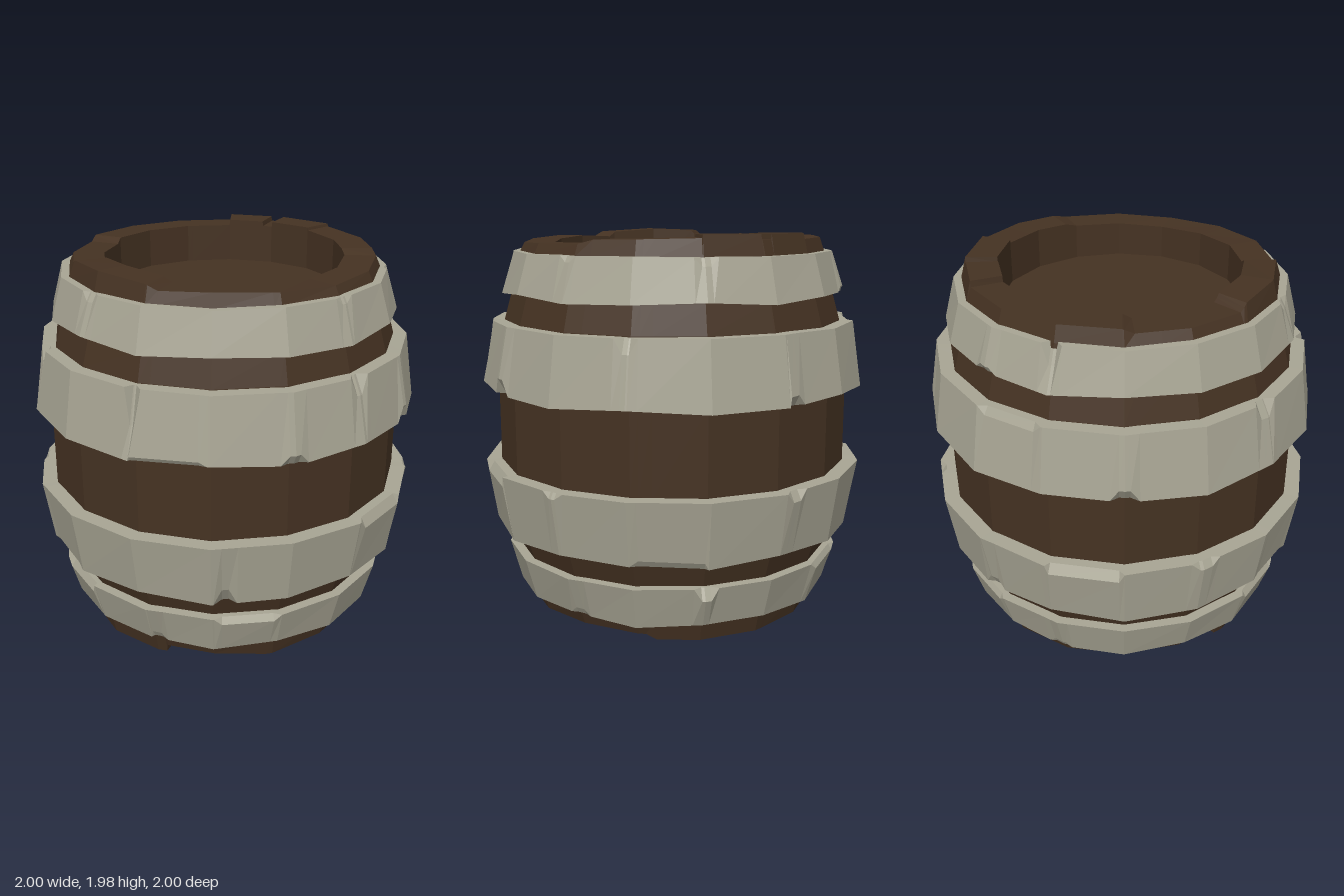
import * as THREE from 'three';

const SIDES = 16, STEP = 360 / SIDES;
const wood = new THREE.MeshStandardMaterial({ color: 0x453222, flatShading: true });
const iron = new THREE.MeshStandardMaterial({ color: 0xa8a594, flatShading: true });

// Point at an angle (0 = front, 90 = +x) kept on the straight sides of a 16-gon
function point(deg, [r, y]) {
  const half = Math.PI / SIDES;
  const local = THREE.MathUtils.degToRad(((deg % STEP) + STEP) % STEP) - half;
  const a = THREE.MathUtils.degToRad(deg), k = r * Math.cos(half) / Math.cos(local);
  return new THREE.Vector3(k * Math.sin(a), y, k * Math.cos(a));
}

// Sweeps a profile [r, y] (listed bottom to top) round the axis; it may change with the angle
function sweep(name, angles, profileAt, material) {
  const list = [...new Set(angles)].sort((a, b) => a - b);
  const rows = list.map(a => profileAt(a).map(p => point(a, p)));
  const pos = [], tri = new THREE.Triangle();
  const add = (a, b, c) => {
    if (tri.set(a, b, c).getArea() > 1e-8) pos.push(...a, ...b, ...c);
  };
  for (let i = 0; i < rows.length - 1; i++) {
    const p = rows[i], q = rows[i + 1];
    for (let j = 0; j < p.length - 1; j++) {
      add(p[j], q[j], q[j + 1]);
      add(p[j], q[j + 1], p[j + 1]);
    }
  }
  const geo = new THREE.BufferGeometry();
  geo.setAttribute('position', new THREE.Float32BufferAttribute(pos, 3));
  geo.computeVertexNormals();
  const mesh = new THREE.Mesh(geo, material);
  mesh.name = name;
  return mesh;
}

// Linear lookup in a list of [angle, value]
function lookup(table, a) {
  for (let i = 1; i < table.length; i++) {
    const [a0, v0] = table[i - 1], [a1, v1] = table[i];
    if (a <= a1) return v0 + (v1 - v0) * (a - a0) / (a1 - a0);
  }
  return table[table.length - 1][1];
}

const grid = Array.from({ length: SIDES + 1 }, (_, i) => i * STEP);

// Uneven stave ends: height of the rim by angle, close pairs are sharp steps
const topRim = [[0, 1.94], [45, 1.92], [90, 1.93], [96, 1.95], [134.7, 1.96], [135, 1.975],
  [157, 1.975], [157.3, 1.95], [162, 1.95], [162.3, 1.975], [180, 1.975], [180.3, 1.945],
  [247, 1.95], [251, 1.925], [291, 1.925], [294, 1.96], [315, 1.97], [337, 1.955],
  [341, 1.93], [360, 1.94]];
const bottomRim = [[0, 0.04], [20, 0.01], [45, 0.03], [90, 0.055], [115, 0.05], [119, 0.02],
  [160, 0.02], [200, 0.04], [260, 0.06], [288, 0.06], [288.3, 0.015], [315, 0],
  [341, 0.01], [341.3, 0.045], [360, 0.04]];

function makeBody() {
  const angles = [...grid, ...topRim.map(t => t[0]), ...bottomRim.map(t => t[0])];
  return sweep('barrelBody', angles, a => {
    const top = lookup(topRim, a), bottom = lookup(bottomRim, a);
    return [[0, 0.25], [0.61, 0.25], [0.61, bottom], [0.768, bottom],
      [0.795, 0.13], [0.84, 0.33], [0.88, 0.46], [0.92, 0.79],
      [0.92, 1.2], [0.88, 1.53], [0.84, 1.67], [0.795, 1.87],
      [0.768, top], [0.61, top], [0.61, 1.75], [0, 1.75]];
  }, wood);
}

// Chips are [start angle, end angle, depth]; the chip fades out just past both ends
const FADE = 2.5;
const chipAngles = chips => chips.flatMap(([s, e]) => [s - FADE, s, e, e + FADE]);
function chipDepth(chips, a) {
  let depth = 0;
  for (const [s, e, d] of chips) if (a >= s && a <= e) depth = d;
  return depth;
}

function makeHoop({ name, y0, y1, r0, r1, topChips, bottomChips, seed }) {
  const wobble = grid.map((_, i) => 0.012 * Math.sin((i % SIDES) * 2.3 + seed));
  const uneven = grid.map((a, i) => [a, wobble[i]]);
  const angles = [...grid, ...chipAngles(topChips), ...chipAngles(bottomChips)];
  return sweep(name, angles, a => {
    const w = lookup(uneven, a);
    const t = chipDepth(topChips, a), b = chipDepth(bottomChips, a);
    const lo = y0 + w, hi = y1 - Math.abs(w) * 0.4;
    const cut = d => Math.min(d * 0.6, 0.045);
    return [[0.76, lo], [r0 - cut(b), lo], [r0, lo + b],
      [r1, hi - t], [r1 - cut(t), hi], [0.76, hi]];
  }, iron);
}

const hoops = [
  { name: 'topHoop', y0: 1.67, y1: 1.88, r0: 0.89, r1: 0.832, seed: 1,
    topChips: [[44, 46, 0.03], [88, 90, 0.03], [134, 137, 0.04], [224, 226, 0.1], [314, 317, 0.04]],
    bottomChips: [[200, 204, 0.03]] },
  { name: 'upperMiddleHoop', y0: 1.2, y1: 1.53, r0: 1, r1: 0.95, seed: 2.5,
    topChips: [[44, 46, 0.09], [111, 113, 0.07], [205, 222, 0.04], [290, 293, 0.08], [337, 338, 0.18]],
    bottomChips: [[21, 24, 0.05], [66, 69, 0.08], [158, 161, 0.05], [246, 249, 0.06], [338, 357, 0.02]] },
  { name: 'lowerMiddleHoop', y0: 0.46, y1: 0.79, r0: 0.95, r1: 1, seed: 4,
    topChips: [[48, 67, 0.05], [89, 91, 0.03], [160, 163, 0.05], [226, 246, 0.05], [269, 273, 0.04]],
    bottomChips: [[3, 5, 0.08], [115, 134, 0.03], [202, 205, 0.06], [295, 312, 0.02]] },
  { name: 'bottomHoop', y0: 0.12, y1: 0.33, r0: 0.832, r1: 0.89, seed: 5.5,
    topChips: [[3, 20, 0.035], [134, 137, 0.06], [180, 200, 0.03], [295, 314, 0.04]],
    bottomChips: [[90, 93, 0.03], [222, 226, 0.03], [338, 341, 0.035]] },
];

export function createModel() {
  const model = new THREE.Group();
  model.name = 'barrel';
  model.add(makeBody(), ...hoops.map(makeHoop));
  return model;
}
